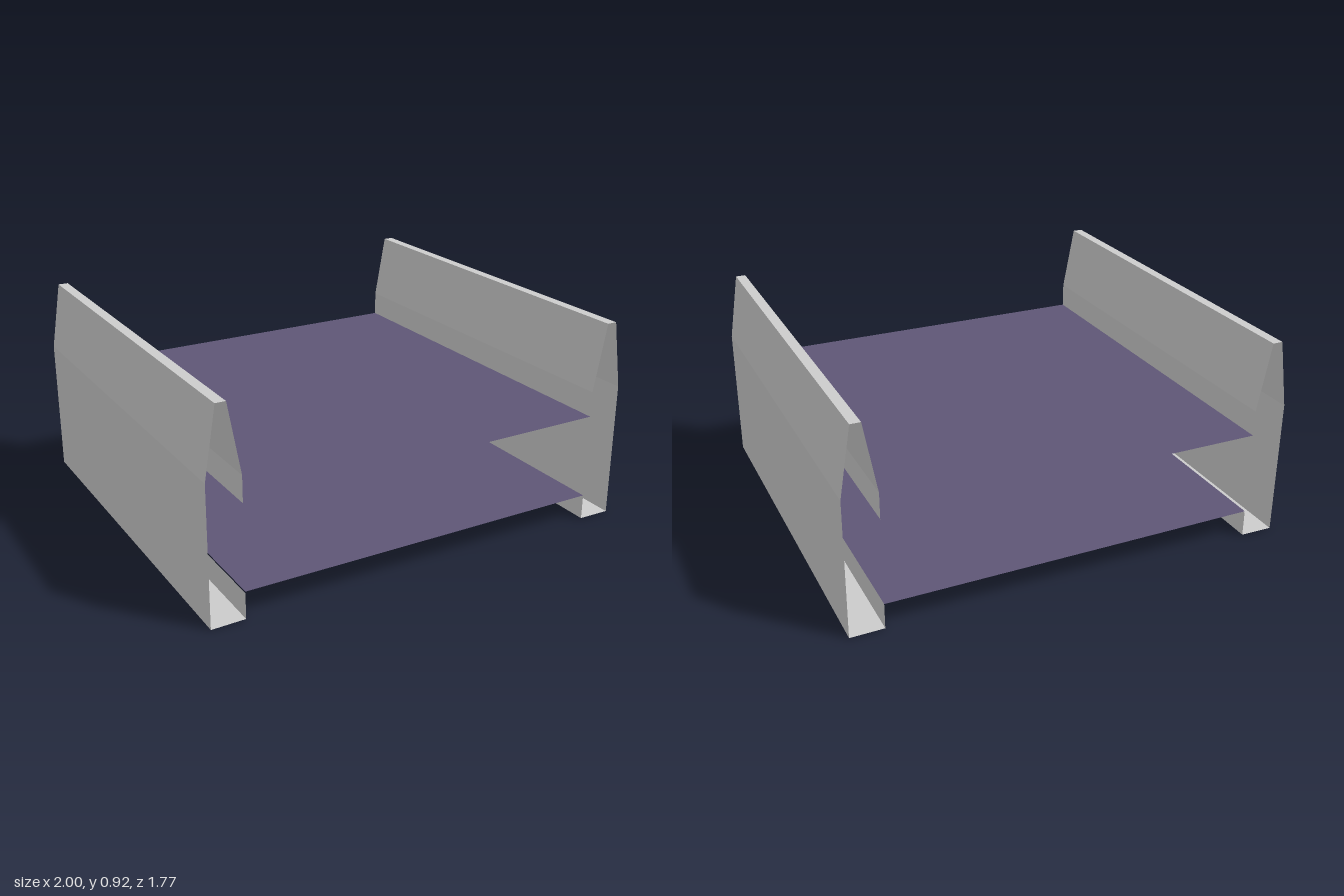
import * as THREE from 'three';

const FRONT = 0.885, BACK = -0.89;

// Open sheet swept along z from a cross-section of [x, y] points, with hard folds
function sheet(name, profile, material) {
  const positions = [];
  for (let i = 0; i < profile.length - 1; i++) {
    const [ax, ay] = profile[i], [bx, by] = profile[i + 1];
    positions.push(
      ax, ay, FRONT, bx, by, FRONT, bx, by, BACK,
      ax, ay, FRONT, bx, by, BACK, ax, ay, BACK
    );
  }
  const geometry = new THREE.BufferGeometry();
  geometry.setAttribute('position', new THREE.Float32BufferAttribute(positions, 3));
  geometry.computeVertexNormals();
  const mesh = new THREE.Mesh(geometry, material);
  mesh.name = name;
  return mesh;
}

export function createModel() {
  const model = new THREE.Group();
  model.name = 'bridgeSegment';
  const grey = new THREE.MeshStandardMaterial({ color: 0xcccccc, side: THREE.DoubleSide });
  const purple = new THREE.MeshStandardMaterial({ color: 0x5e5676, side: THREE.DoubleSide });

  // Side walls: tapered parapet, outer face, base and short inner lip
  const wall = [
    [0.85, 0.12], [0.85, 0.005], [1, 0.003], [1, 0.62],
    [0.95, 0.925], [0.905, 0.925], [0.85, 0.62], [0.85, 0.505]
  ];
  const mirrored = wall.map(([x, y]) => [-x, y]).reverse();
  model.add(sheet('leftWall', wall, grey), sheet('rightWall', mirrored, grey));

  // Upper deck and underside, listed right to left so the sheets face outward
  model.add(sheet('upperDeck', [[0.85, 0.505], [-0.85, 0.505]].reverse(), purple));
  model.add(sheet('lowerDeck', [[-0.85, 0.127], [0.85, 0.12]], purple));

  return model;
}
